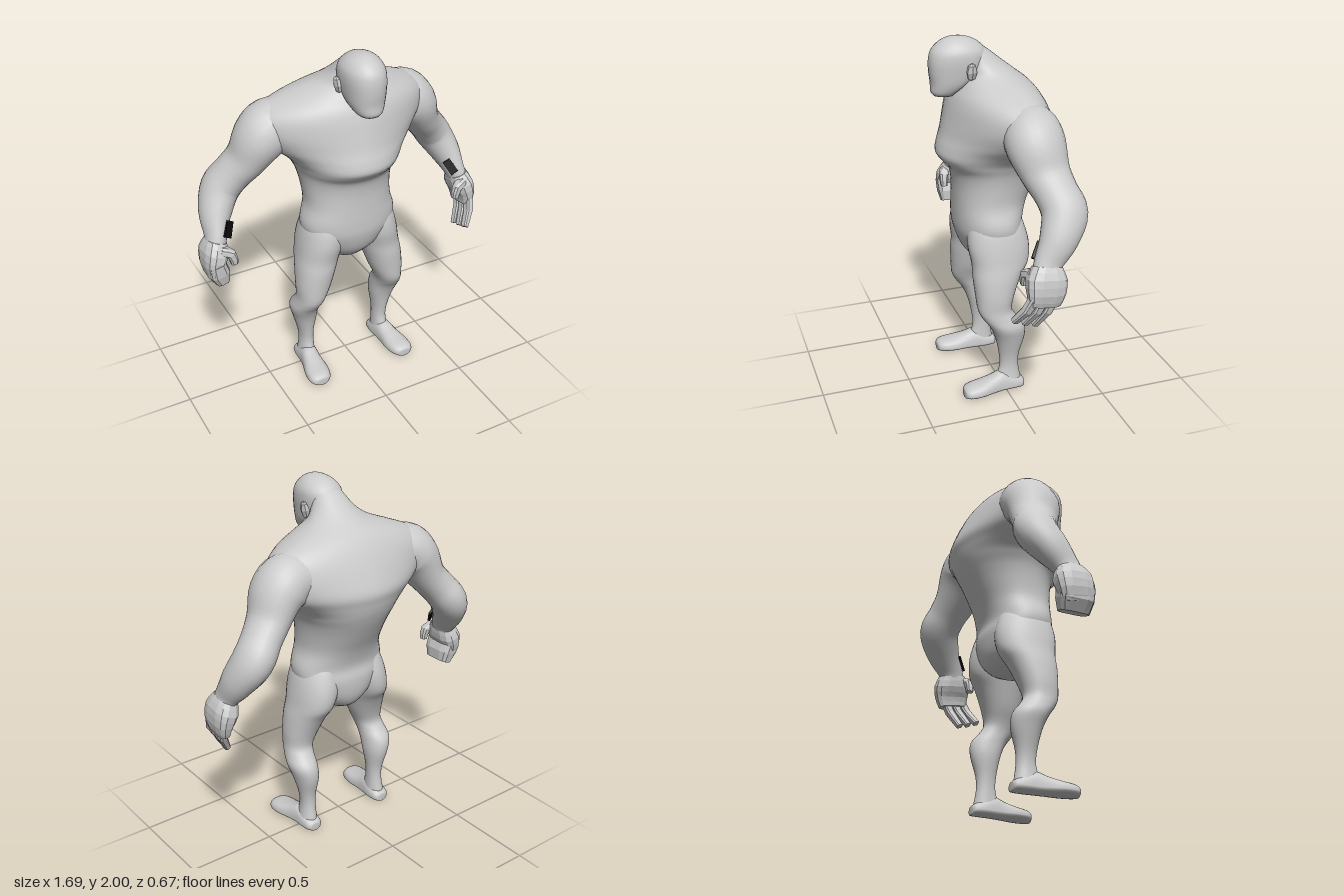
import * as THREE from 'three';

const skin = new THREE.MeshStandardMaterial({ color: 0xcccccc, side: THREE.DoubleSide });
const facet = new THREE.MeshStandardMaterial({ color: 0xcccccc, side: THREE.DoubleSide, flatShading: true });
const dark = new THREE.MeshStandardMaterial({ color: 0x0a0a0a });

// Catmull-Rom interpolation between rows of section numbers
function refine(rows, steps) {
  const out = [];
  for (let i = 0; i < rows.length - 1; i++) {
    const a = rows[Math.max(i - 1, 0)], b = rows[i], c = rows[i + 1], d = rows[Math.min(i + 2, rows.length - 1)];
    for (let s = 0; s < steps; s++) {
      const t = s / steps;
      out.push(b.map((_, k) => 0.5 * (2 * b[k] + (c[k] - a[k]) * t
        + (2 * a[k] - 5 * b[k] + 4 * c[k] - d[k]) * t * t
        + (3 * b[k] - a[k] - 3 * c[k] + d[k]) * t * t * t)));
    }
  }
  out.push(rows[rows.length - 1]);
  return out;
}

// unit superellipse point
function oval(a, p) {
  const f = v => Math.sign(v) * Math.pow(Math.abs(v), 2 / p);
  return [f(Math.cos(a)), f(Math.sin(a))];
}

// closed skin through rings of points; the winding is set from the enclosed volume
function loft(rings) {
  const n = rings[0].length, pts = rings.flat(), idx = [];
  for (let r = 0; r < rings.length - 1; r++) {
    for (let i = 0; i < n; i++) {
      const a = r * n + i, b = r * n + (i + 1) % n;
      idx.push(a, b, a + n, b, b + n, a + n);
    }
  }
  const cap = (ring, start, flip) => {
    const c = new THREE.Vector3();
    ring.forEach(p => c.addScaledVector(p, 1 / n));
    pts.push(c);
    for (let i = 0; i < n; i++) {
      const a = start + i, b = start + (i + 1) % n;
      idx.push(pts.length - 1, flip ? a : b, flip ? b : a);
    }
  };
  cap(rings[0], 0, false);
  cap(rings[rings.length - 1], (rings.length - 1) * n, true);
  let volume = 0;
  const cross = new THREE.Vector3();
  for (let i = 0; i < idx.length; i += 3) {
    volume += pts[idx[i]].dot(cross.crossVectors(pts[idx[i + 1]], pts[idx[i + 2]]));
  }
  if (volume < 0) idx.reverse();
  const g = new THREE.BufferGeometry().setFromPoints(pts);
  g.setIndex(idx);
  g.computeVertexNormals();
  return g;
}

// horizontal rings: [y, centre x, half width, back z, widest z, front z, power]
function upright(rows, sx = 1, n = 32, steps = 4) {
  return loft(refine(rows, steps).map(([y, cx, w, zb, zm, zf, p]) =>
    Array.from({ length: n }, (_, i) => {
      const [c, s] = oval(i / n * Math.PI * 2, p);
      return new THREE.Vector3(sx * (cx + w * c), y, zm + s * (s > 0 ? zf - zm : zm - zb));
    })));
}

// rings across a path: [x, y, z, half thickness, half depth, power]
function limb(rows, sx = 1, n = 20, steps = 4) {
  const R = refine(rows, steps), at = i => new THREE.Vector3(...R[i].slice(0, 3));
  return loft(R.map(([, , , ru, rv, p], k) => {
    const t = at(Math.min(k + 1, R.length - 1)).sub(at(Math.max(k - 1, 0))).normalize();
    const v = new THREE.Vector3(0, 0, 1).addScaledVector(t, -t.z).normalize();
    const u = new THREE.Vector3().crossVectors(v, t);
    return Array.from({ length: n }, (_, i) => {
      const [c, s] = oval((i + 0.5) / n * Math.PI * 2, p);
      const q = at(k).addScaledVector(u, c * ru).addScaledVector(v, s * rv);
      q.x *= sx;
      return q;
    });
  }));
}

export function createModel() {
  const model = new THREE.Group();
  const add = (name, geometry, material = skin) => {
    const m = new THREE.Mesh(geometry, material);
    m.name = name;
    model.add(m);
    return m;
  };

  // torso from crotch to neck, with the chest ledge and humped back
  add('torso', upright([
    [0.715, 0, 0.04, -0.06, 0, 0.06, 2],
    [0.75, 0, 0.11, -0.12, 0, 0.11, 2],
    [0.82, 0, 0.19, -0.155, 0, 0.17, 2.1],
    [0.92, 0, 0.26, -0.165, 0.01, 0.205, 2.2],
    [1.0, 0, 0.273, -0.155, 0.02, 0.212, 2.2],
    [1.1, 0, 0.245, -0.185, 0.02, 0.212, 2.2],
    [1.2, 0, 0.25, -0.235, 0, 0.215, 2.1],
    [1.28, 0, 0.265, -0.275, -0.02, 0.232, 2.1],
    [1.33, 0, 0.285, -0.297, -0.04, 0.275, 2.1],
    [1.37, 0, 0.31, -0.312, -0.06, 0.303, 2],
    [1.42, 0, 0.365, -0.325, -0.08, 0.297, 1.85],
    [1.48, 0, 0.445, -0.335, -0.09, 0.277, 1.7],
    [1.56, 0, 0.505, -0.308, -0.09, 0.257, 1.65],
    [1.64, 0, 0.5, -0.272, -0.09, 0.237, 1.7],
    [1.7, 0, 0.43, -0.238, -0.08, 0.215, 1.8],
    [1.75, 0, 0.31, -0.198, -0.06, 0.185, 1.9],
    [1.8, 0, 0.18, -0.135, -0.01, 0.16, 1.9],
    [1.85, 0, 0.12, -0.07, 0.05, 0.15, 2],
    [1.91, 0, 0.085, 0.005, 0.09, 0.14, 2],
    [1.95, 0, 0.055, 0.06, 0.1, 0.14, 2],
  ], 1, 48));

  // head with blunt face and broad jaw
  add('head', upright([
    [1.695, 0, 0.055, 0.21, 0.25, 0.315, 2.2],
    [1.715, 0, 0.074, 0.19, 0.24, 0.328, 2.2],
    [1.76, 0, 0.096, 0.13, 0.2, 0.328, 2.3],
    [1.82, 0, 0.108, 0.06, 0.17, 0.335, 2.3],
    [1.88, 0, 0.113, 0.03, 0.17, 0.335, 2.2],
    [1.93, 0, 0.107, 0.038, 0.17, 0.322, 2.1],
    [1.97, 0, 0.079, 0.078, 0.18, 0.285, 2],
    [1.993, 0, 0.04, 0.13, 0.19, 0.24, 2],
    [2.0, 0, 0.008, 0.18, 0.19, 0.2, 2],
  ]));

  for (const [side, sx] of [['left', 1], ['right', -1]]) {
    // ear
    const ear = add(side + 'Ear', new THREE.SphereGeometry(1, 6, 4), facet);
    ear.scale.set(0.022, 0.05, 0.03);
    ear.position.set(sx * 0.115, 1.832, 0.14);
    ear.rotation.z = -sx * 0.2;

    // leg from hip to ankle
    add(side + 'Leg', upright([
      [1.08, 0.13, 0.07, -0.1, 0.02, 0.13, 2],
      [0.98, 0.15, 0.112, -0.135, 0.02, 0.175, 2],
      [0.88, 0.167, 0.122, -0.158, 0.02, 0.185, 2.1],
      [0.78, 0.19, 0.115, -0.15, 0.03, 0.17, 2.1],
      [0.7, 0.21, 0.11, -0.1, 0.04, 0.17, 2.1],
      [0.6, 0.231, 0.098, -0.055, 0.05, 0.163, 2.1],
      [0.52, 0.248, 0.08, -0.035, 0.05, 0.155, 2.1],
      [0.47, 0.259, 0.077, -0.06, 0.03, 0.132, 2.1],
      [0.41, 0.265, 0.08, -0.105, 0, 0.09, 2.1],
      [0.33, 0.255, 0.068, -0.11, -0.02, 0.056, 2.1],
      [0.22, 0.248, 0.046, -0.083, -0.03, 0.033, 2],
      [0.14, 0.246, 0.041, -0.08, -0.03, 0.03, 2],
      [0.05, 0.25, 0.048, -0.095, -0.03, 0.06, 2],
    ], sx));

    // foot: upright arches along z [z, centre x, half width, height]
    add(side + 'Foot', loft(refine([
      [-0.11, 0.25, 0.025, 0.045],
      [-0.095, 0.25, 0.048, 0.06],
      [-0.04, 0.25, 0.056, 0.09],
      [0.02, 0.253, 0.055, 0.115],
      [0.08, 0.26, 0.06, 0.095],
      [0.15, 0.268, 0.071, 0.076],
      [0.21, 0.274, 0.066, 0.067],
      [0.24, 0.276, 0.05, 0.056],
      [0.25, 0.276, 0.028, 0.045],
    ], 3).map(([z, cx, w, h]) => Array.from({ length: 20 }, (_, i) => {
      const [c, s] = oval(i / 20 * Math.PI * 2, 2.4);
      return new THREE.Vector3(sx * (cx + w * c), s < 0 ? 0.025 + s * 0.025 : 0.025 + s * (h - 0.025), z);
    }))));

    // arm from shoulder to wrist
    add(side + 'Arm', limb([
      [0.24, 1.59, -0.1, 0.1, 0.11, 2],
      [0.38, 1.575, -0.085, 0.145, 0.148, 2],
      [0.46, 1.515, -0.085, 0.137, 0.155, 2],
      [0.53, 1.4, -0.11, 0.105, 0.13, 2],
      [0.6, 1.315, -0.14, 0.1, 0.115, 2],
      [0.665, 1.23, -0.16, 0.102, 0.12, 2],
      [0.722, 1.12, -0.108, 0.086, 0.1, 2],
      [0.752, 1.02, -0.045, 0.058, 0.076, 2],
      [0.768, 0.96, -0.03, 0.055, 0.075, 2.3],
    ], sx, 24));

    // dark forearm patch
    const patch = add(side + 'ForearmPatch', new THREE.BoxGeometry(0.046, 0.09, 0.014), dark);
    patch.position.set(sx * 0.695, 1.068, 0.003);
    patch.rotation.set(-0.35, -sx * 0.45, sx * 0.45);

    // palm and thumb
    add(side + 'Palm', limb([
      [0.758, 1.0, -0.035, 0.055, 0.077, 2.5],
      [0.778, 0.94, -0.025, 0.066, 0.105, 2.8],
      [0.797, 0.87, -0.018, 0.05, 0.1, 3],
      [0.795, 0.81, -0.01, 0.034, 0.085, 3],
    ], sx, 12, 2), facet);
    add(side + 'Thumb', limb([
      [0.755, 0.97, 0.04, 0.028, 0.032, 3],
      [0.71, 0.95, 0.06, 0.027, 0.027, 3],
      [0.697, 0.89, 0.062, 0.02, 0.02, 3],
    ], sx, 8, 2), facet);
  }

  // open left hand
  for (let i = 0; i < 3; i++) {
    const z = 0.046 - i * 0.054, drop = [0.035, 0.015, 0][i];
    add('leftFinger', limb([
      [0.805, 0.86, z, 0.026, 0.027, 4],
      [0.788, 0.77 + drop / 2, z + 0.035, 0.023, 0.025, 4],
      [0.737, 0.675 + drop, z + 0.08, 0.017, 0.02, 4],
    ], 1, 8, 1), facet);
  }

  // closed right hand: fingers curled under the palm
  add('rightFist', limb([
    [0.79, 0.9, -0.015, 0.052, 0.1, 3.5],
    [0.775, 0.83, -0.015, 0.062, 0.095, 3.5],
    [0.757, 0.77, -0.015, 0.042, 0.08, 3.5],
  ], -1, 12, 1), facet);

  return model;
}
